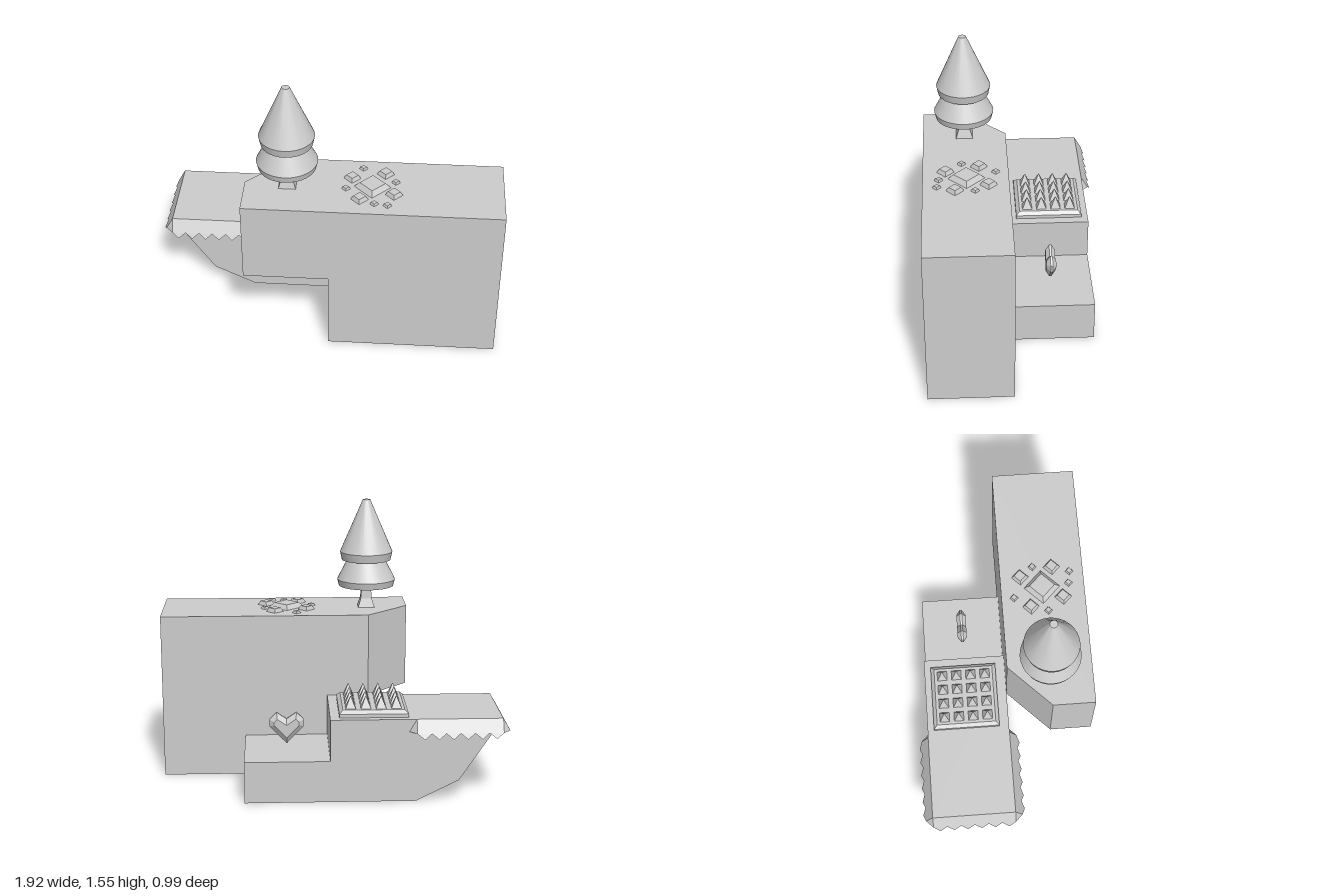
import * as THREE from 'three';
import { toCreasedNormals } from 'three/addons/utils/BufferGeometryUtils.js';

const U = 0.467; // module of the two interlocking blocks
const grey = new THREE.MeshStandardMaterial({ color: 0xcccccc });
const greyFlat = new THREE.MeshStandardMaterial({ color: 0xcccccc, flatShading: true });
const greyThin = new THREE.MeshStandardMaterial({ color: 0xcccccc, flatShading: true, side: THREE.DoubleSide });

function add(parent, name, geometry, material = grey) {
  const mesh = new THREE.Mesh(geometry, material);
  mesh.name = name;
  parent.add(mesh);
  return mesh;
}

const polygon = (points) => new THREE.Shape(points.map(([x, y]) => new THREE.Vector2(x, y)));

// Square frustum standing on its base; half sizes at bottom and top
function frustum(bottom, top, height) {
  return new THREE.CylinderGeometry(top * Math.SQRT2, bottom * Math.SQRT2, height, 4, 1)
    .rotateY(Math.PI / 4).translate(0, height / 2, 0);
}

// Sloping zigzag skirt along a path of [x, z] corners, with clipped corners
function fringe(path, top, closed, firstNormal, lastNormal) {
  const verts = [];
  const tri = (...pts) => pts.forEach((p) => verts.push(...p));
  const edges = [];
  const count = closed ? path.length : path.length - 1;
  for (let i = 0; i < count; i++) {
    const a = path[i], b = path[(i + 1) % path.length];
    const length = Math.hypot(b[0] - a[0], b[1] - a[1]);
    edges.push({ a, b, length, n: [(b[1] - a[1]) / length, -(b[0] - a[0]) / length] });
  }
  const at = (p, n, out, drop) => [p[0] + n[0] * out, top - drop, p[1] + n[1] * out];
  const valley = (p, n) => at(p, n, 0.04, 0.07);
  const corner = (p, n1, n2) => {
    tri(at(p, n1, 0, 0), valley(p, n1), valley(p, n2));
    tri(at(p, n1, 0, 0.07), valley(p, n2), valley(p, n1));
  };
  edges.forEach(({ a, b, length, n }, i) => {
    const wallA = at(a, n, 0, 0), wallB = at(b, n, 0, 0);
    const lowA = at(a, n, 0, 0.07), lowB = at(b, n, 0, 0.07);
    const outA = valley(a, n), outB = valley(b, n);
    // slope and underside
    tri(wallA, wallB, outB, wallA, outB, outA);
    tri(lowA, outA, outB, lowA, outB, lowB);
    // teeth
    const teeth = Math.round(length / 0.078);
    const point = (t) => [a[0] + (b[0] - a[0]) * t, a[1] + (b[1] - a[1]) * t];
    for (let k = 0; k < teeth; k++) {
      tri(valley(point(k / teeth), n), valley(point((k + 1) / teeth), n),
        at(point((k + 0.5) / teeth), n, 0.056, 0.1));
    }
    if (closed || i < count - 1) corner(b, n, edges[(i + 1) % count].n);
  });
  if (!closed) {
    corner(path[0], firstNormal, edges[0].n);
    corner(path[count], edges[count - 1].n, lastNormal);
  }
  const geometry = new THREE.BufferGeometry();
  geometry.setAttribute('position', new THREE.Float32BufferAttribute(verts, 3));
  geometry.computeVertexNormals();
  return geometry;
}

function createTree() {
  const tree = new THREE.Group();
  tree.name = 'tree';
  // flared square trunk
  add(tree, 'trunkBase', frustum(0.047, 0.032, 0.05), greyFlat);
  add(tree, 'trunk', frustum(0.032, 0.024, 0.09), greyFlat).position.y = 0.05;
  // two stacked tiers in one turned profile
  const profile = [[0, 0.125], [0.157, 0.125], [0.166, 0.163], [0.108, 0.275], [0.14, 0.275],
    [0.15, 0.322], [0.021, 0.62], [0, 0.62]].map(([r, y]) => new THREE.Vector2(r, y));
  add(tree, 'foliage', toCreasedNormals(new THREE.LatheGeometry(profile, 32), 0.4));
  tree.position.set(-U / 2, 2 * U, U / 2);
  return tree;
}

function createSpikePad() {
  const pad = new THREE.Group();
  pad.name = 'spikePad';
  add(pad, 'padBase', new THREE.BoxGeometry(0.376, 0.02, 0.376).translate(0, 0.01, 0));
  add(pad, 'padBevel', frustum(0.188, 0.168, 0.018), greyFlat).position.y = 0.02;
  const spike = new THREE.ConeGeometry(0.028 * Math.SQRT2, 0.068, 4)
    .rotateY(Math.PI / 4).translate(0, 0.034, 0);
  for (let i = 0; i < 4; i++) {
    for (let j = 0; j < 4; j++) {
      add(pad, 'spike', spike, greyFlat).position.set((i - 1.5) * 0.083, 0.038, (j - 1.5) * 0.082);
    }
  }
  pad.position.set(-0.238, U, -0.242);
  return pad;
}

function createCrystals() {
  const crystals = new THREE.Group();
  crystals.name = 'crystalPattern';
  // x, z, half diagonal, height
  const stones = [[0.225, 0.23, 0.1, 0.026],
    [0.113, 0.16, 0.047, 0.022], [0.293, 0.112, 0.048, 0.022],
    [0.343, 0.293, 0.048, 0.022], [0.16, 0.343, 0.048, 0.022],
    [0.17, 0.07, 0.024, 0.013], [0.35, 0.185, 0.024, 0.013], [0.083, 0.255, 0.024, 0.013],
    [0.24, 0.38, 0.024, 0.013], [0.31, 0.39, 0.024, 0.013]];
  for (const [x, z, r, h] of stones) {
    const half = r / Math.SQRT2;
    const stone = add(crystals, 'crystal', frustum(half, half * 0.7, h), greyFlat);
    stone.position.set(x, 2 * U, z);
    stone.rotation.y = Math.PI / 4;
  }
  return crystals;
}

function createHeart() {
  const outline = polygon([[0, -0.09], [0.095, 0.01], [0.095, 0.05], [0.055, 0.09], [0, 0.052],
    [-0.055, 0.09], [-0.095, 0.05], [-0.095, 0.01]]);
  const geometry = new THREE.ExtrudeGeometry(outline, {
    depth: 0.012, bevelThickness: 0.021, bevelSize: 0.026, bevelOffset: -0.026, bevelSegments: 1,
  }).translate(0, 0, -0.006);
  const heart = new THREE.Mesh(geometry, greyFlat);
  heart.name = 'heart';
  heart.position.set(U / 2, 0.353, -U / 2);
  return heart;
}

export function createModel() {
  const model = new THREE.Group();
  model.name = 'model';

  // Tall block: full-height body with a chamfered overhanging end
  const plan = [[2 * U, 0], [2 * U, U], [-U, U], [-U, U / 2], [-U / 2, 0]];
  const upper = new THREE.ExtrudeGeometry(polygon(plan), { depth: U, bevelEnabled: false })
    .rotateX(Math.PI / 2).translate(0, 2 * U, 0);
  add(model, 'tallBlockTop', upper);
  add(model, 'tallBlockBase', new THREE.BoxGeometry(2 * U, U, U).translate(U, U / 2, U / 2));
  add(model, 'tallBlockFringe', fringe([...plan].reverse(), 2 * U, true), greyThin);

  // Low block: sloped hull at one end, lowered step at the other
  const side = [[-U, 0], [U, 0], [U, U / 2], [0, U / 2], [0, U], [-2 * U, U], [-1.5 * U, U / 4]];
  add(model, 'lowBlock', new THREE.ExtrudeGeometry(polygon(side), { depth: U, bevelEnabled: false })
    .translate(0, 0, -U));
  add(model, 'lowBlockFringe',
    fringe([[-U, 0], [-2 * U, 0], [-2 * U, -U], [-U, -U]], U, false, [1, 0], [1, 0]), greyThin);

  model.add(createTree(), createSpikePad(), createCrystals(), createHeart());
  return model;
}
